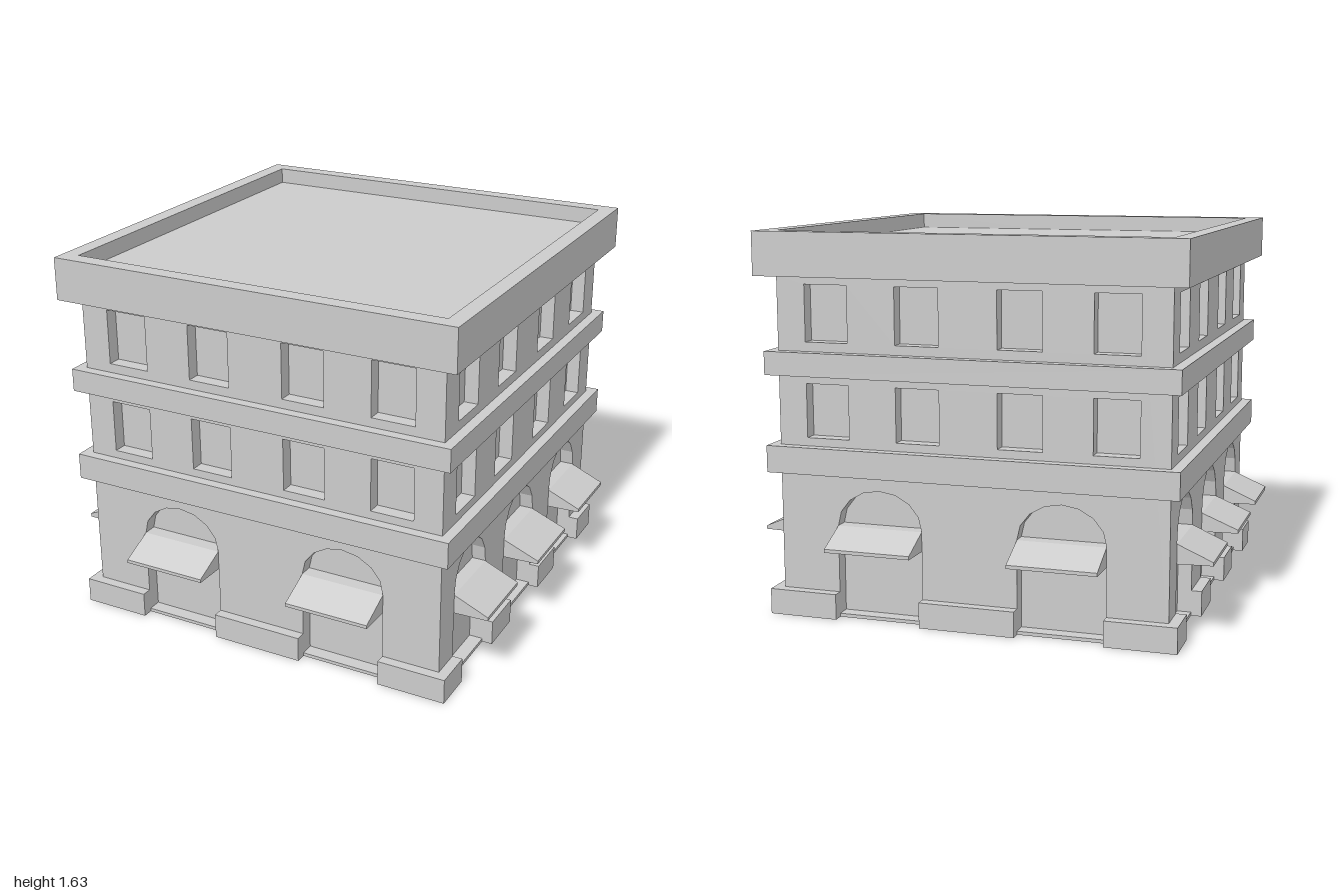
import * as THREE from 'three';

const WALL = 0.84;    // half width of the walls
const DEPTH = 0.06;   // depth of window and door recesses
const CORE = WALL - DEPTH;
const LEDGE = 0.885;  // half width of bands and plinth
const SILL = 0.015;   // threshold height
const EAVES = 1.45;

const material = new THREE.MeshStandardMaterial({ color: 0xcccccc, flatShading: true });

function add(parent, name, geometry, x = 0, y = 0, z = 0) {
  const mesh = new THREE.Mesh(geometry, material);
  mesh.name = name;
  mesh.position.set(x, y, z);
  parent.add(mesh);
  return mesh;
}

// Box given by its extents on each axis
function addBlock(parent, name, x0, x1, y0, y1, z0, z1) {
  return add(parent, name, new THREE.BoxGeometry(x1 - x0, y1 - y0, z1 - z0),
    (x0 + x1) / 2, (y0 + y1) / 2, (z0 + z1) / 2);
}

function polygon(points, Type = THREE.Shape) {
  return new Type(points.map(([x, y]) => new THREE.Vector2(x, y)));
}

function rectangle(x0, x1, y0, y1, Type) {
  return polygon([[x0, y0], [x1, y0], [x1, y1], [x0, y1]], Type);
}

// Doorway outline with a faceted elliptical arch
function archway({ x, half, rise }) {
  const points = [[x - half, SILL], [x + half, SILL]];
  for (let i = 0; i <= 8; i++) {
    const a = Math.PI * i / 8;
    points.push([x + half * Math.cos(a), 0.4 + rise * Math.sin(a)]);
  }
  return polygon(points, THREE.Path);
}

// One facade facing +z: pierced wall, plinth pieces and awnings
function createFacade(name, wallHalf, plinthHalf, doors) {
  const facade = new THREE.Group();
  facade.name = name;

  const wall = rectangle(-wallHalf, wallHalf, 0, EAVES);
  for (const [y0, y1] of [[0.77, 1.0], [1.175, 1.415]]) {
    for (const x of [-0.62, -0.22, 0.22, 0.62]) {
      wall.holes.push(rectangle(x - 0.095, x + 0.095, y0, y1, THREE.Path));
    }
  }
  for (const door of doors) wall.holes.push(archway(door));
  add(facade, 'wall', new THREE.ExtrudeGeometry(wall, { depth: DEPTH, bevelEnabled: false }), 0, 0, CORE);

  // Plinth runs between the doorways
  let start = -plinthHalf;
  for (const { x, half } of doors) {
    addBlock(facade, 'plinth', start, x - half, 0, 0.11, CORE, LEDGE);
    start = x + half;
  }
  addBlock(facade, 'plinth', start, plinthHalf, 0, 0.11, CORE, LEDGE);

  // Wedge-shaped awnings, profile drawn outward from the wall plane
  for (const { x, half, reach } of doors) {
    const out = reach - WALL;
    const profile = polygon([[-DEPTH, 0.315], [out, 0.32], [out, 0.335], [0, 0.4], [-DEPTH, 0.4]]);
    const geometry = new THREE.ExtrudeGeometry(profile, { depth: 2 * half, bevelEnabled: false });
    geometry.rotateY(-Math.PI / 2);
    add(facade, 'awning', geometry, x + half, 0, WALL);
  }
  return facade;
}

export function createModel() {
  const building = new THREE.Group();
  building.name = 'building';

  // Inner core closes the recesses; the floor forms the thresholds
  addBlock(building, 'core', -CORE, CORE, SILL, EAVES, -CORE, CORE);
  addBlock(building, 'floor', -WALL, WALL, 0, SILL, -WALL, WALL);

  // Two wide arches on front and back, three narrower ones on the sides
  const frontDoors = [-0.395, 0.395].map((x) => ({ x, half: 0.188, rise: 0.16, reach: 0.985 }));
  const sideDoors = [-0.542, 0, 0.542].map((x) => ({
    x, half: x ? 0.162 : 0.17, rise: 0.18, reach: x ? 0.99 : 1,
  }));
  ['front', 'left', 'back', 'right'].forEach((side, i) => {
    const facade = i % 2
      ? createFacade(side + 'Facade', CORE, WALL, sideDoors)
      : createFacade(side + 'Facade', WALL, LEDGE, frontDoors);
    facade.rotation.y = i * Math.PI / 2;
    building.add(facade);
  });

  // Projecting bands between storeys
  addBlock(building, 'lowerBand', -LEDGE, LEDGE, 0.62, 0.735, -LEDGE, LEDGE);
  addBlock(building, 'upperBand', -LEDGE, LEDGE, 1.035, 1.135, -LEDGE, LEDGE);

  // Sunken roof inside a heavy parapet
  const ring = rectangle(-0.912, 0.912, -0.912, 0.912);
  ring.holes.push(rectangle(-WALL, WALL, -WALL, WALL, THREE.Path));
  const parapet = new THREE.ExtrudeGeometry(ring, { depth: 0.185, bevelEnabled: false });
  parapet.rotateX(-Math.PI / 2);
  add(building, 'parapet', parapet, 0, EAVES, 0);
  addBlock(building, 'roof', -WALL, WALL, EAVES, 1.565, -WALL, WALL);

  return building;
}
